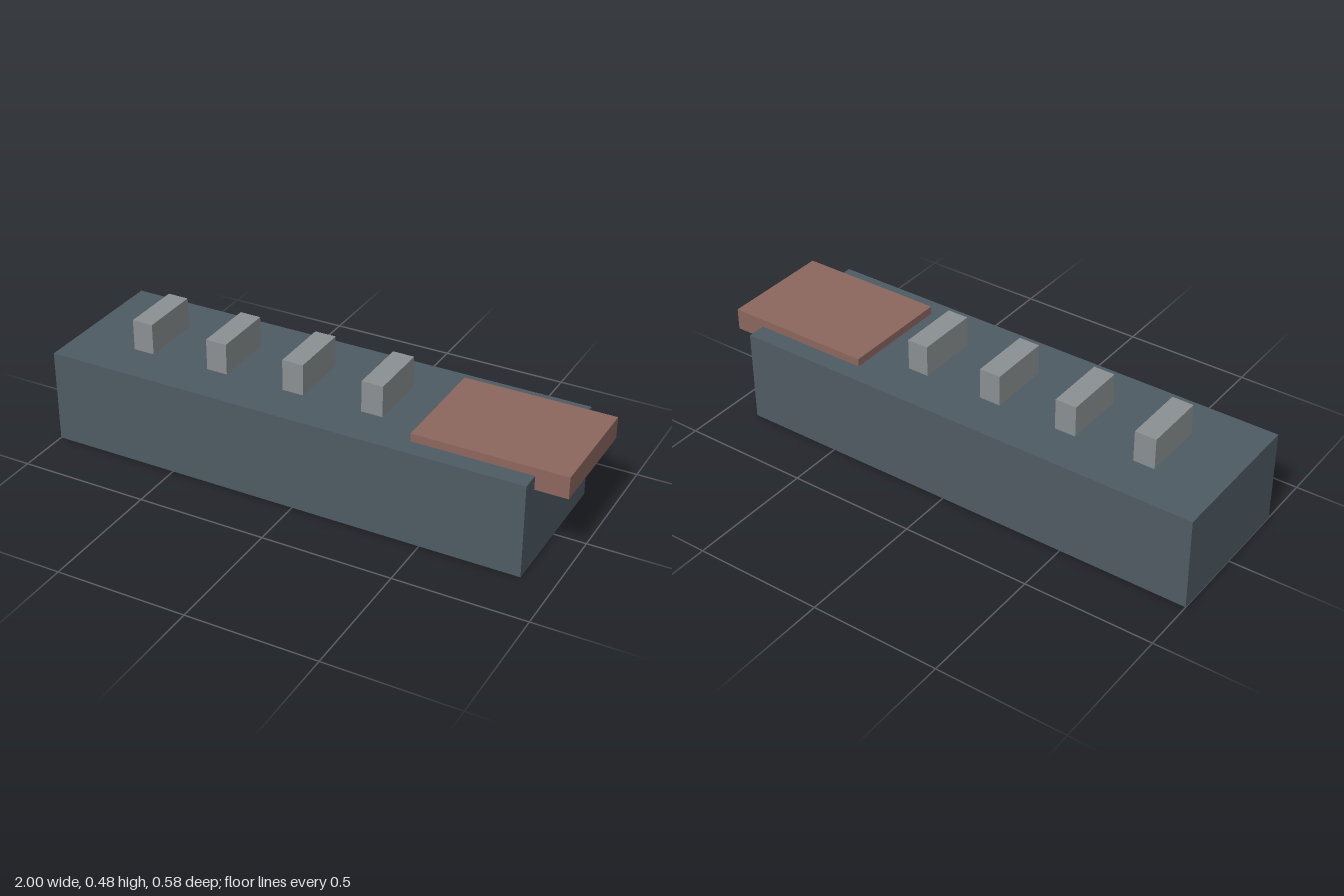
import * as THREE from 'three';

const paint = (name, color) => {
  const m = new THREE.MeshStandardMaterial({ color });
  m.name = name;
  return m;
};

// Box given by its extents in x and y, centred on z = 0
function block(name, material, [x0, x1], [y0, y1], depth) {
  const mesh = new THREE.Mesh(new THREE.BoxGeometry(x1 - x0, y1 - y0, depth), material);
  mesh.name = name;
  mesh.position.set((x0 + x1) / 2, (y0 + y1) / 2, 0);
  return mesh;
}

export function createModel() {
  const slate = paint('slate', 0x4f5b63);
  const clay = paint('clay brown', 0x8c675f);
  const grey = paint('grey', 0x8b9092);

  const model = new THREE.Group();
  model.name = 'slab with ledge';

  // Long base
  model.add(block('base', slate, [-1, 0.878], [0, 0.362], 0.578));

  // Ledge let into the top and overhanging the left end
  model.add(block('ledge', clay, [0.423, 1], [0.309, 0.393], 0.434));

  // Row of four evenly spaced cross blocks
  for (let i = 0; i < 4; i++) {
    const x = -0.715 + i * 0.314;
    model.add(block(`crossBlock${i + 1}`, grey, [x - 0.0415, x + 0.0415], [0.362, 0.483], 0.242));
  }
  return model;
}
